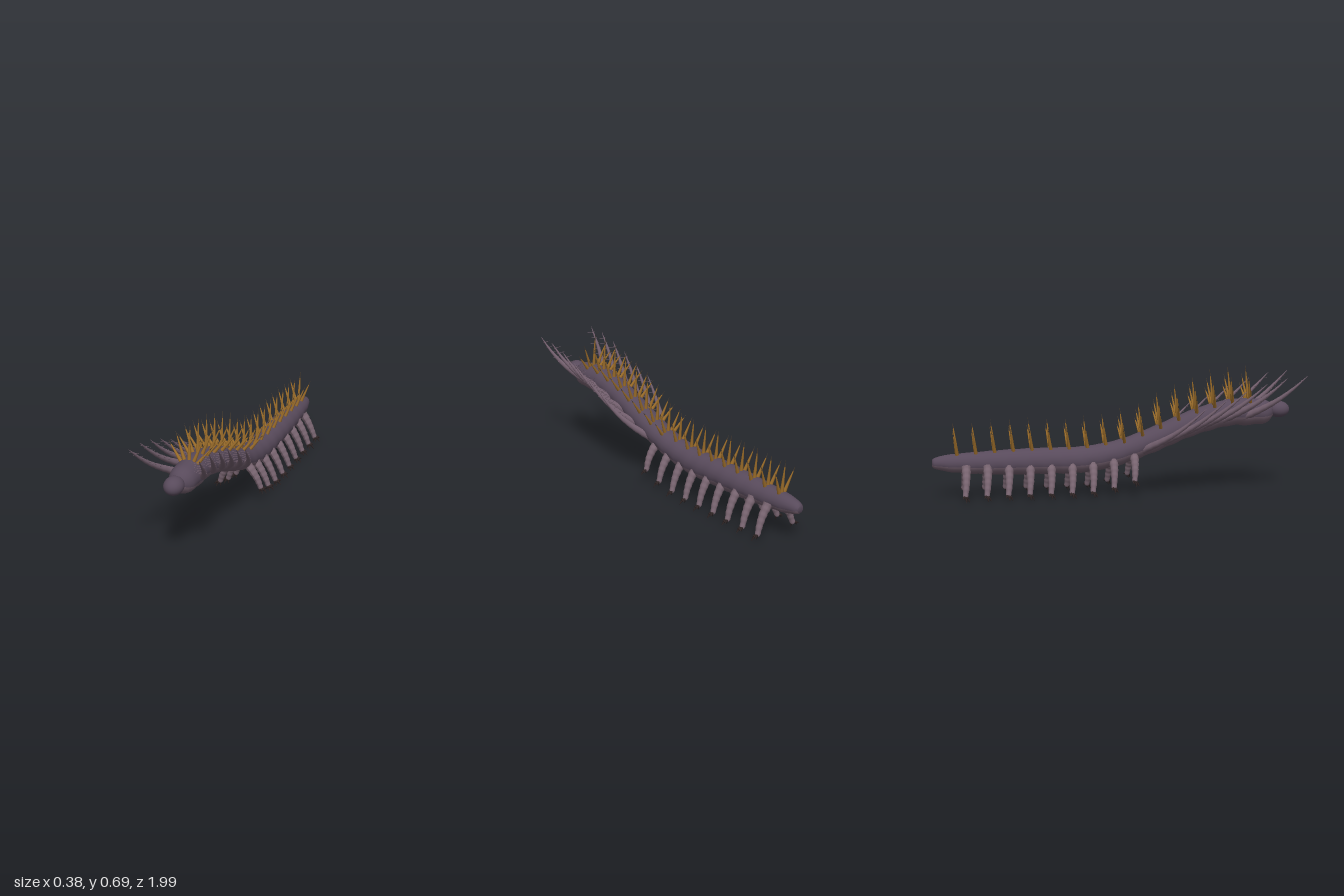
import * as THREE from 'three';

const V = (x, y, z) => new THREE.Vector3(x, y, z);
const mat = (name, color) => Object.assign(new THREE.MeshStandardMaterial({ color }), { name });

// Body centre line and radius: z, y, r from front to tail
const BODY = [
  [0.85, 0.43, 0.03], [0.83, 0.43, 0.055], [0.79, 0.43, 0.069], [0.72, 0.43, 0.074], [0.6, 0.427, 0.073],
  [0.4, 0.375, 0.072], [0.2, 0.295, 0.071], [0, 0.225, 0.07], [-0.2, 0.192, 0.071],
  [-0.4, 0.19, 0.071], [-0.6, 0.188, 0.068], [-0.75, 0.188, 0.06], [-0.87, 0.19, 0.051],
  [-0.95, 0.192, 0.04], [-0.99, 0.192, 0.027], [-1, 0.192, 0.018],
];
function bodyAt(z) {
  let i = 0;
  while (i < BODY.length - 2 && z < BODY[i + 1][0]) i++;
  const a = BODY[i], b = BODY[i + 1], p = BODY[Math.max(i - 1, 0)], n = BODY[Math.min(i + 2, BODY.length - 1)];
  const t = (z - a[0]) / (b[0] - a[0]), h = b[0] - a[0];
  const hermite = (k) => {
    const ma = (b[k] - p[k]) / (b[0] - p[0]) * h, mb = (n[k] - a[k]) / (n[0] - a[0]) * h;
    return a[k] * (1 + 2 * t) * (1 - t) ** 2 + ma * t * (1 - t) ** 2 + b[k] * t * t * (3 - 2 * t) + mb * t * t * (t - 1);
  };
  return { y: hermite(1), r: hermite(2) };
}

// Ringed trunk: material 0 on the back, 1 on the belly
function trunkGeometry(sides = 20) {
  const zs = [0.85, 0.843, 0.83, 0.81, 0.79];
  for (let i = 1; i <= 70; i++) zs.push(0.79 - i * 0.025);
  zs.push(-0.975, -0.99, -1);
  const pos = [], back = [], belly = [];
  zs.forEach((z, i) => {
    const { y, r } = bodyAt(z);
    for (let j = 0; j < sides; j++) {
      const a = (j / sides) * Math.PI * 2, low = Math.sin(a) < -0.25 ? 0.035 : 0.015;
      const rr = r * (1 + low * Math.cos(z * Math.PI * 20));
      pos.push(Math.cos(a) * rr, y + Math.sin(a) * rr, z);
      if (i === zs.length - 1) continue;
      const k = (j + 1) % sides, p = i * sides + j, q = i * sides + k;
      const mid = Math.sin(((j + 0.5) / sides) * Math.PI * 2);
      (mid < -0.35 ? belly : back).push(p, p + sides, q, q, p + sides, q + sides);
    }
  });
  // End caps
  const last = (zs.length - 1) * sides;
  for (let j = 1; j < sides - 1; j++) back.push(0, j, j + 1, last, last + j + 1, last + j);
  const g = new THREE.BufferGeometry();
  g.setAttribute('position', new THREE.Float32BufferAttribute(pos, 3));
  g.setIndex([...back, ...belly]);
  g.addGroup(0, back.length, 0);
  g.addGroup(back.length, belly.length, 1);
  g.computeVertexNormals();
  return g;
}

// Tube along a curve whose radius follows a rule
function limbGeometry(points, radius, steps = 20, sides = 10) {
  const curve = new THREE.CatmullRomCurve3(points);
  const g = new THREE.TubeGeometry(curve, steps, 1, sides);
  const p = g.attributes.position, v = V();
  for (let i = 0; i <= steps; i++) {
    const c = curve.getPointAt(i / steps), r = radius(i / steps);
    for (let j = 0; j <= sides; j++) {
      const n = i * (sides + 1) + j;
      v.fromBufferAttribute(p, n).sub(c).multiplyScalar(r).add(c);
      p.setXYZ(n, v.x, v.y, v.z);
    }
  }
  g.computeVertexNormals();
  return { g, curve };
}

export function createModel() {
  const model = new THREE.Group();
  model.name = 'spinyWormCreature';
  const back = mat('backPurple', 0x584a5b), belly = mat('bellyMauve', 0x6f5c6a);
  const legSkin = mat('legMauve', 0x7a6672), horn = mat('spineAmber', 0x9a6c2a);
  const tipDark = mat('spineTip', 0x4a3d30), clawDark = mat('clawDark', 0x2e2424);

  const add = (parent, name, geo, m) => {
    const mesh = new THREE.Mesh(geo, m);
    mesh.name = name;
    parent.add(mesh);
    return mesh;
  };
  const group = (name) => {
    const g = new THREE.Group();
    g.name = name;
    model.add(g);
    return g;
  };
  // Straight spike from a to b
  const spike = (parent, name, a, b, r0, r1, m, sides = 6) => {
    const d = b.clone().sub(a);
    const s = add(parent, name, new THREE.CylinderGeometry(r1, r0, d.length(), sides), m);
    s.position.copy(a).addScaledVector(d, 0.5);
    s.quaternion.setFromUnitVectors(V(0, 1, 0), d.normalize());
  };

  add(model, 'trunk', trunkGeometry(), [back, belly]);

  const head = add(model, 'head', new THREE.SphereGeometry(1, 24, 16), back);
  head.scale.set(0.049, 0.045, 0.058);
  head.position.set(0, 0.44, 0.89);

  // Rows of dorsal spines, fanned wider on the front half
  for (let i = 0; i < 17; i++) {
    const z = 0.715 - i * 0.099, row = group('spineRow');
    const c = bodyAt(z), base = Math.max(c.r - 0.006, 0.05);
    const fan = i < 8 ? [0, 21, -21, 38, -38] : [0, 21, -21];
    fan.forEach((deg) => {
      const a = THREE.MathUtils.degToRad(deg), k = Math.abs(deg);
      const len = (k === 0 ? 0.19 : k === 21 ? 0.152 : 0.122) * (i < 6 ? 1 : 0.9);
      const at = (d) => V(Math.sin(a) * (base + d), c.y + Math.cos(a) * (base + d), z - 0.02 * d / len);
      spike(row, 'spine', at(0), at(len * 0.8), 0.01, 0.0026, horn, 8);
      spike(row, 'spineTip', at(len * 0.8), at(len), 0.0026, 0.0002, tipDark, 8);
    });
  }

  for (const s of [1, -1]) {
    // Long feathery front arms sweeping up and forward
    for (let i = 0; i < 6; i++) {
      const z = 0.12 + i * 0.111, y = bodyAt(z).y, arm = group(s > 0 ? 'leftArm' : 'rightArm');
      const { g, curve } = limbGeometry([
        V(s * 0.045, y - 0.025, z), V(s * 0.095, y + 0.02, z + 0.08), V(s * 0.135, y + 0.075, z + 0.165),
        V(s * 0.162, y + 0.14, z + 0.245), V(s * 0.178, y + 0.208, z + 0.318),
      ], (t) => 0.021 * (1 - t) ** 0.8 * (1 + 0.05 * Math.cos(t * 60)) + 0.0006, 30, 8);
      add(arm, 'armLimb', g, belly);
      for (let k = 0; k < 6; k++) {
        const p = curve.getPointAt(0.45 + k * 0.09);
        spike(arm, 'bristle', p, p.clone().add(V(-s * 0.045, 0.004, 0.008)), 0.0028, 0.0002, belly, 5);
        spike(arm, 'bristle', p, p.clone().add(V(s * 0.018, 0.002, 0.004)), 0.0025, 0.0002, belly, 5);
      }
    }
    // Stubby walking legs with dark claws
    for (let i = 0; i < 9; i++) {
      const z = 0.072 - i * 0.112, lift = [0.055, 0.022, 0.004][i] ?? 0;
      const leg = group(s > 0 ? 'leftLeg' : 'rightLeg');
      const foot = V(s * 0.118, 0.032 + lift, z - 0.008);
      const { g } = limbGeometry([
        V(s * 0.045, 0.175 + lift * 0.7, z), V(s * 0.075, 0.13 + lift * 0.85, z),
        V(s * 0.1, 0.08 + lift, z - 0.003), foot,
      ], (t) => (0.025 - 0.011 * t) * (1 + 0.05 * Math.cos(t * 32)), 24, 10);
      add(leg, 'legLimb', g, legSkin);
      const sole = add(leg, 'footPad', new THREE.SphereGeometry(0.0135, 10, 8), legSkin);
      sole.position.copy(foot);
      for (const [dx, dy, dz] of [[0.037, -0.028, 0.004], [0.018, -0.03, 0.022], [-0.003, -0.031, 0.008], [0.03, -0.01, -0.016]]) {
        const knuckle = foot.clone().add(V(s * dx * 0.6, dy * 0.35, dz * 0.6));
        spike(leg, 'claw', foot, knuckle, 0.009, 0.006, clawDark);
        spike(leg, 'clawTip', knuckle, foot.clone().add(V(s * dx, dy, dz)), 0.006, 0.0003, clawDark);
      }
    }
  }
  return model;
}
